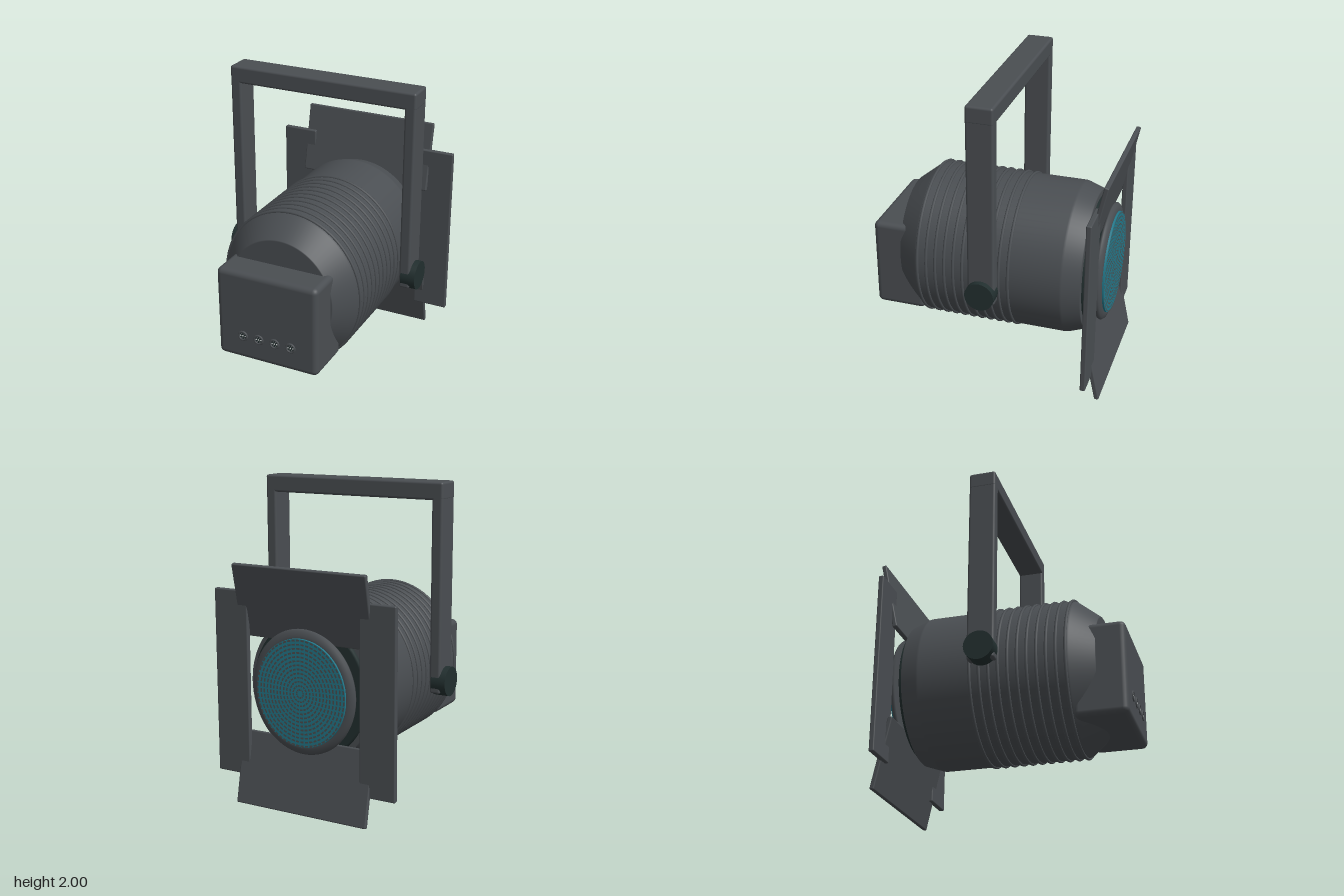
import * as THREE from 'three';
import { mergeGeometries } from 'three/addons/utils/BufferGeometryUtils.js';
import { RoundedBoxGeometry } from 'three/addons/geometries/RoundedBoxGeometry.js';

const material = (name, color) => {
  const m = new THREE.MeshStandardMaterial({ color });
  m.name = name;
  return m;
};

export function createModel() {
  const metal = material('grey metal', 0x4a4e52);
  const dark = material('dark green-black', 0x222f2f);
  const glass = material('teal glass', 0x23788a);
  const mesh = material('lens mesh grey', 0x4b4f50);
  const pale = material('pale pins', 0xb4b8b8);

  const model = new THREE.Group();
  model.name = 'stageLight';
  const add = (parent, name, geometry, mat, x = 0, y = 0, z = 0) => {
    const m = new THREE.Mesh(geometry, mat);
    m.name = name;
    m.position.set(x, y, z);
    parent.add(m);
    return m;
  };
  const box = (w, h, d, r = 0.01) => new RoundedBoxGeometry(w, h, d, 3, r);
  // Turned shape along z; points are [radius, z] with z rising
  const turned = (points) =>
    new THREE.LatheGeometry(points.map(([r, z]) => new THREE.Vector2(r, z)), 72).rotateX(Math.PI / 2);

  // Barrel: slightly taller than wide
  const barrel = new THREE.Group();
  barrel.name = 'barrel';
  barrel.position.y = 0.765;
  barrel.scale.y = 1.08;
  model.add(barrel);
  add(barrel, 'housing', turned([
    [0, -0.625], [0.425, -0.625], [0.43, -0.62], [0.464, -0.515], [0.467, -0.5],
    [0.467, 0.43], [0.46, 0.45], [0.357, 0.588], [0.35, 0.59], [0, 0.59],
  ]), metal);
  for (let i = 0; i < 11; i++)
    add(barrel, 'coolingRib', new THREE.TorusGeometry(0.468, 0.01, 8, 72), metal, 0, 0, 0.43 - i * 0.06);
  add(barrel, 'frontCollar', turned([
    [0, -0.655], [0.385, -0.655], [0.395, -0.647], [0.395, -0.61],
  ]), dark);

  // Lens: rim, glass and a fine mesh of concentric dashes
  add(barrel, 'lensRim', turned([
    [0, -0.735], [0.31, -0.735], [0.325, -0.735], [0.35, -0.725], [0.36, -0.71], [0.355, -0.695], [0, -0.69],
  ]), metal);
  add(barrel, 'lensGlass', turned([
    [0, -0.748], [0.308, -0.748], [0.31, -0.745], [0.31, -0.73],
  ]), glass);
  const dashes = [];
  for (let i = 1; i <= 13; i++) {
    const r = i * 0.0232, count = 8 + i * 4, step = (Math.PI * 2) / count;
    for (let k = 0; k < count; k++)
      dashes.push(new THREE.RingGeometry(r - 0.005, r + 0.005, 2, 1, k * step, step * 0.72));
  }
  add(barrel, 'lensMesh', mergeGeometries(dashes).rotateY(Math.PI), mesh, 0, 0, -0.7505);

  // Rear box
  add(model, 'rearBox', box(0.685, 0.6, 0.335, 0.035), metal, 0, 0.68, 0.6075);
  // Sockets with pins on the rear box
  for (let i = 0; i < 4; i++) {
    const socket = new THREE.Group();
    socket.name = 'socket';
    socket.position.set(-0.165 + i * 0.11, 0.545, 0.776);
    model.add(socket);
    add(socket, 'socketRing', new THREE.TorusGeometry(0.028, 0.007, 8, 24), metal);
    add(socket, 'socketFace', new THREE.CircleGeometry(0.026, 24), dark, 0, 0, 0.001);
    add(socket, 'socketHub', new THREE.SphereGeometry(0.006, 10, 8), pale);
    for (let k = 0; k < 6; k++) {
      const a = (k * Math.PI) / 3;
      add(socket, 'socketPin', new THREE.SphereGeometry(0.005, 8, 6),
        k % 3 ? metal : pale, 0.016 * Math.cos(a), 0.016 * Math.sin(a), 0.001);
    }
  }

  // Yoke
  add(model, 'yokeBar', box(1.26, 0.11, 0.172, 0.015), metal, 0, 1.945, -0.05);
  for (const s of [-1, 1]) {
    add(model, 'yokeLeg', box(0.072, 1.3, 0.172, 0.015), metal, s * 0.593, 1.345, -0.05);
    add(model, 'yokeKnob', new THREE.CylinderGeometry(0.093, 0.093, 0.097, 32).rotateZ(Math.PI / 2),
      dark, s * 0.6175, 0.765, -0.05);
    // Side shutters
    add(model, 'sideShutter', box(0.237, 1.17, 0.034, 0.008), metal, s * 0.5085, 0.765, -0.708);
    // Tilted upper and lower shutters
    const flap = add(model, s > 0 ? 'upperShutter' : 'lowerShutter', box(0.92, 0.465, 0.03, 0.008),
      metal, 0, 0.7625 + s * 0.531, -0.717);
    flap.rotation.x = -s * 0.21;
  }
  return model;
}
